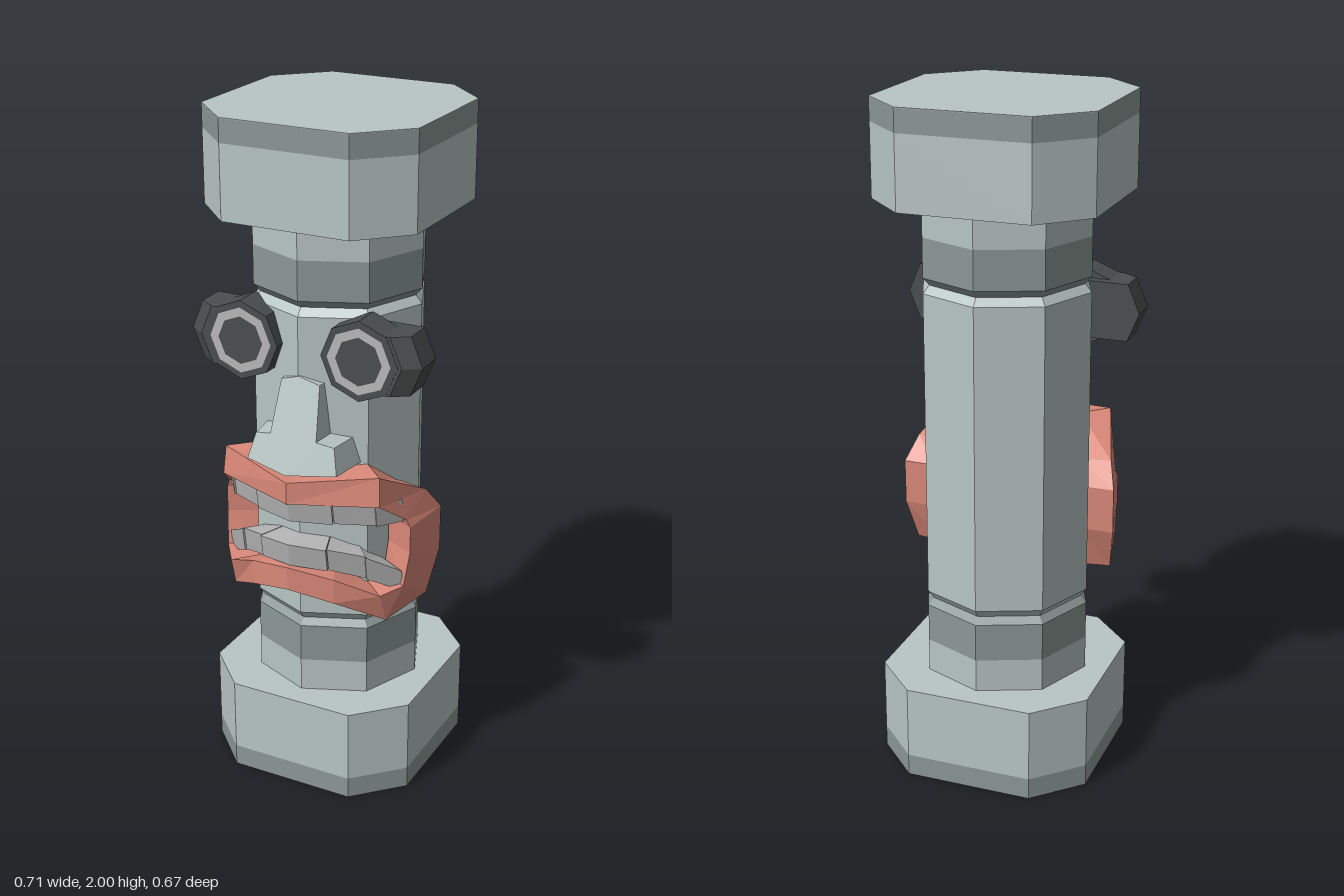
import * as THREE from 'three';

const mat = (color, side = THREE.FrontSide) =>
  new THREE.MeshStandardMaterial({ color, flatShading: true, side });

// Skin a list of point loops with flat quads; closed joins the last loop to the first, otherwise ends are capped.
function loft(sections, closed = false) {
  const pos = [];
  const tri = (...pts) => pts.forEach(p => pos.push(...p));
  const n = sections[0].length;
  const last = closed ? sections.length : sections.length - 1;
  for (let i = 0; i < last; i++) {
    const s = sections[i], t = sections[(i + 1) % sections.length];
    for (let k = 0; k < n; k++) {
      const m = (k + 1) % n;
      tri(s[m], t[m], t[k]);
      tri(s[m], t[k], s[k]);
    }
  }
  if (!closed) {
    const a = sections[0], b = sections[sections.length - 1];
    for (let k = 1; k < n - 1; k++) {
      tri(a[0], a[k + 1], a[k]);
      tri(b[0], b[k], b[k + 1]);
    }
  }
  const g = new THREE.BufferGeometry();
  g.setAttribute('position', new THREE.Float32BufferAttribute(pos, 3));
  g.computeVertexNormals();
  return g;
}

// Mirror a loop in x, keeping its winding and first point
const mirrorLoop = ([first, ...rest]) =>
  [first, ...rest.reverse()].map(([x, y, z]) => [-x, y, z]);

export function createModel() {
  const root = new THREE.Group();
  const stone = mat(0xb8c6c4), darkStone = mat(0x8b9896), black = mat(0x4a4e4e);
  const pale = mat(0xb8b8b8), lipMat = mat(0xd98878);

  const add = (name, geometry, material, parent = root) => {
    const mesh = new THREE.Mesh(geometry, material);
    mesh.name = name;
    parent.add(mesh);
    return mesh;
  };

  // Column: stacked octagonal drums with a V groove at each end of the shaft
  const column = new THREE.Group();
  column.name = 'column';
  column.position.set(-0.005, 0, -0.011);
  root.add(column);
  const drum = (name, y0, y1, r0, r1, material) => {
    const g = new THREE.CylinderGeometry(r1, r0, y1 - y0, 8);
    g.translate(0, (y0 + y1) / 2, 0);
    add(name, g, material, column);
  };
  const R = 0.254, G = 0.235;
  drum('lowerNeck', 0.28, 0.385, R, R, stone);
  drum('lowerBand', 0.385, 0.5, R, R, darkStone);
  drum('lowerBandBevel', 0.5, 0.52, R, G, darkStone);
  drum('shaftFoot', 0.52, 0.545, G, R, stone);
  drum('shaft', 0.545, 1.46, R, R, stone);
  drum('shaftShoulder', 1.46, 1.483, R, G, stone);
  drum('upperBandBevel', 1.483, 1.505, G, R, darkStone);
  drum('upperBand', 1.505, 1.62, R, R, darkStone);
  drum('upperNeck', 1.62, 1.725, R, R, stone);

  // Base and top blocks: chamfered squares with a darker outer band
  const W = 0.323, C = 0.191;
  const block = (name, y0, y1, material) => {
    const loop = y => [[-C, W], [C, W], [W, C], [W, -C], [C, -W], [-C, -W], [-W, -C], [-W, C]]
      .map(([x, z]) => [x, y, z]);
    add(name, loft([loop(y0), loop(y1)]), material, column);
  };
  block('baseBand', 0, 0.065, darkStone);
  block('base', 0.065, 0.285, stone);
  block('top', 1.72, 1.932, stone);
  block('topBand', 1.932, 1.998, darkStone);
  block('topPlate', 1.998, 2, stone);

  // Eyes: octagonal drum, pale ring and a side housing
  for (const side of [1, -1]) {
    const eye = new THREE.Group();
    eye.name = side > 0 ? 'leftEye' : 'rightEye';
    root.add(eye);
    const x = side * 0.183, y = 1.365;
    const barrel = new THREE.CylinderGeometry(0.116, 0.116, 0.088, 8);
    barrel.rotateX(Math.PI / 2).translate(x, y, 0.204);
    add('eyeBarrel', barrel, black, eye);
    const ring = new THREE.RingGeometry(0.07, 0.096, 8, 1);
    ring.translate(x, y, 0.25);
    add('eyeRing', ring, pale, eye);
    const outline = (z, dx) => {
      const loop = [[0.2, -0.085], [0.322, -0.085], [0.357, 0], [0.322, 0.085], [0.2, 0.085]]
        .map(([px, py]) => [px - dx, y + py, z]);
      return side > 0 ? loop : mirrorLoop(loop);
    };
    const housing = loft([outline(0.13, 0), outline(0.215, 0), outline(0.247, 0.047)]);
    add('eyeHousing', housing, black, eye);
  }

  // Nose: two mirrored halves meeting in a ridge
  const noseHalf = [[0, 1.025], [0.16, 1.035], [0.14, 1.11], [0.082, 1.12], [0.068, 1.27], [0, 1.29]];
  for (const side of [1, -1]) {
    const back = noseHalf.map(([x, y]) => [x, y, 0.14]);
    const front = noseHalf.map(([x, y]) =>
      [x * 0.88, y, 0.335 - (y - 1.025) * 0.33 - x * 0.22]);
    const loops = [back, front].map(l => side > 0 ? l : mirrorLoop(l));
    add(side > 0 ? 'noseLeft' : 'noseRight', loft(loops), stone);
  }

  // Lips: a closed band wrapped around the shaft; each station is an outer and an inner edge
  const lipStations = [
    [[0, 1.0, 0.33], [0, 0.935, 0.33]],
    [[0.245, 1.03, 0.24], [0.25, 0.945, 0.25]],
    [[0.305, 0.935, 0.06], [0.29, 0.875, 0.155]],
    [[0.33, 0.865, 0.008], [0.3, 0.85, 0.15]],
    [[0.33, 0.73, 0.01], [0.3, 0.77, 0.15]],
    [[0.31, 0.6, 0.055], [0.29, 0.67, 0.17]],
    [[0.25, 0.565, 0.2], [0.245, 0.655, 0.23]],
    [[0.13, 0.635, 0.295], [0.13, 0.71, 0.295]],
    [[0, 0.665, 0.33], [0, 0.735, 0.33]],
  ];
  const inward = ([x, y, z], f) => [x * f, y, z * f];
  const lipLoop = ([o, i]) => [o, i, inward(i, 0.7), inward(o, 0.7)];
  const flip = ([x, y, z]) => [-x, y, z];
  const otherHalf = lipStations.slice(1, -1).reverse().map(st => st.map(flip));
  add('lips', loft([...lipStations, ...otherHalf].map(lipLoop), true), lipMat);

  // Teeth: curved rows of blocks, stations as [x, z, top, bottom]
  const rows = {
    upperTooth: [[0, 0.325, 0.945, 0.875], [0.12, 0.29, 0.945, 0.875],
      [0.23, 0.235, 0.945, 0.87], [0.28, 0.165, 0.94, 0.868]],
    lowerTooth: [[0, 0.325, 0.806, 0.735], [0.105, 0.295, 0.797, 0.727],
      [0.2, 0.235, 0.77, 0.695], [0.282, 0.165, 0.715, 0.645]],
  };
  for (const [name, row] of Object.entries(rows)) {
    for (let i = 0; i < 3; i++) {
      const grow = i === 1 ? 0.975 : 1;
      const loop = ([x, z, top, bottom], m) => {
        const t = [m * x, top, z * grow], b = [m * x, bottom, (z - 0.012) * grow];
        return [t, b, inward(b, 0.7), inward(t, 0.7)];
      };
      add(name, loft([loop(row[i], 1), loop(row[i + 1], 1)]), pale);
      add(name, loft([loop(row[i + 1], -1), loop(row[i], -1)]), pale);
    }
  }

  return root;
}
